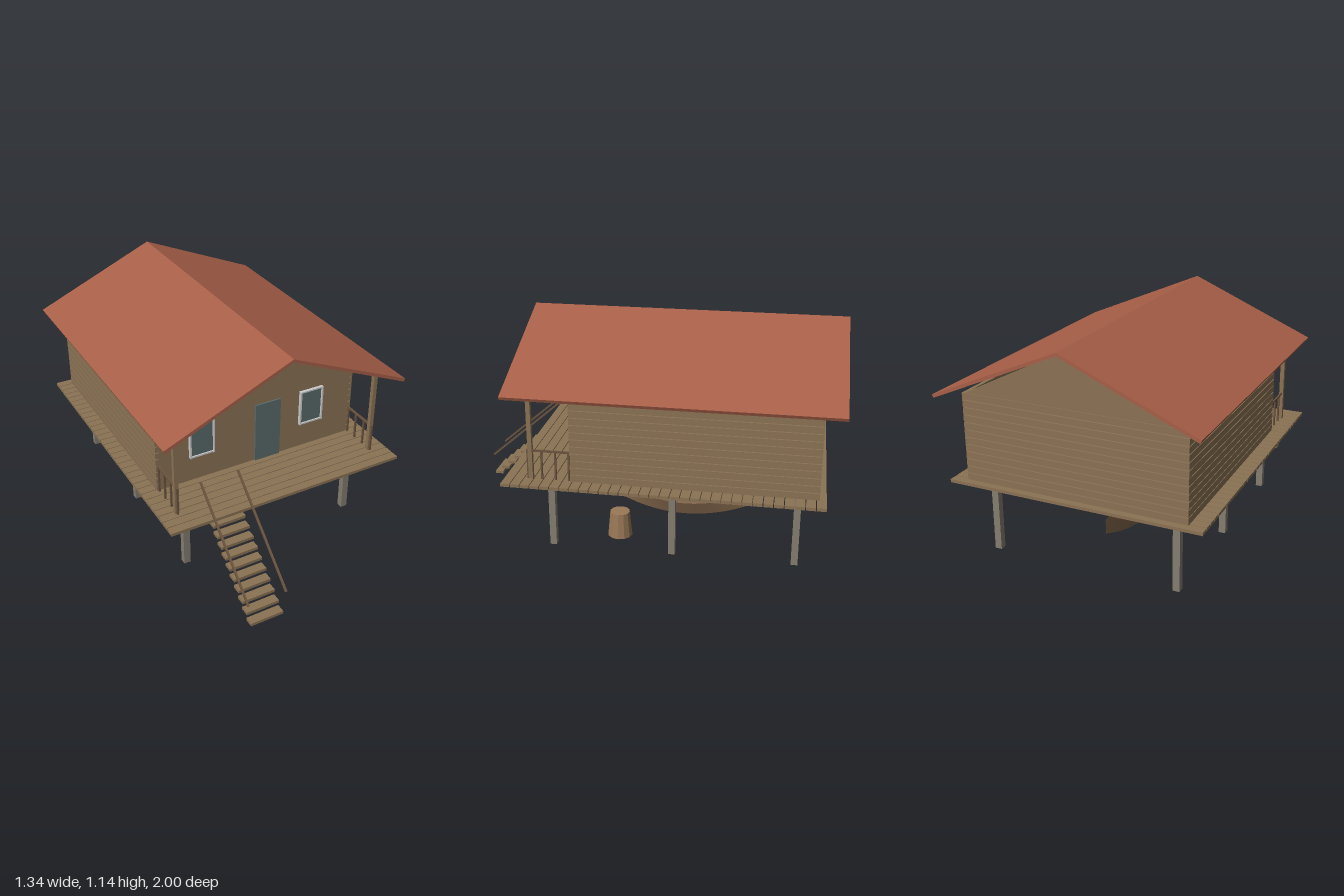
import * as THREE from 'three';

const mat = (name, color, side = THREE.FrontSide) => {
  const m = new THREE.MeshStandardMaterial({ color, side });
  m.name = name;
  return m;
};

export function createModel() {
  const wood = mat('wood', 0x8b7355);
  const darkWood = mat('dark wood', 0x6b543e);
  const roofRed = mat('roof red', 0xa85f48);
  const stilt = mat('weathered stilt', 0x847d70);
  const glass = mat('blue grey', 0x5a6b6b);
  const trim = mat('pale trim', 0xcccccc);
  const basketTan = mat('basket tan', 0x9a7856);
  const hullBrown = mat('hull brown', 0x84684c, THREE.DoubleSide);

  const model = new THREE.Group();
  model.name = 'stiltHouse';
  const group = (name) => {
    const g = new THREE.Group();
    g.name = name;
    model.add(g);
    return g;
  };
  const add = (parent, name, geometry, material, x = 0, y = 0, z = 0) => {
    const m = new THREE.Mesh(geometry, material);
    m.name = name;
    m.position.set(x, y, z);
    parent.add(m);
    return m;
  };
  const box = (parent, name, material, w, h, d, x, y, z) =>
    add(parent, name, new THREE.BoxGeometry(w, h, d), material, x, y, z);
  // Prism with an xy outline, running from z0 to z1
  const prism = (parent, name, material, points, z0, z1) => {
    const shape = new THREE.Shape(points.map(([x, y]) => new THREE.Vector2(x, y)));
    const g = new THREE.ExtrudeGeometry(shape, { depth: z1 - z0, bevelEnabled: false });
    return add(parent, name, g, material, 0, 0, z0);
  };

  // Stilts
  const stilts = group('stilts');
  for (const x of [-0.484, 0.484])
    for (const z of [0.43, -0.185, -0.8])
      box(stilts, 'stilt', stilt, 0.036, 0.386, 0.034, x, 0.193, z);

  // Deck of separate boards
  const deck = group('deck');
  const boards = 32, boardPitch = 1.58 / boards;
  for (let i = 0; i < boards; i++)
    box(deck, 'deckBoard', wood, 1.31, 0.016, boardPitch - 0.004,
      0, 0.393, 0.645 - (i + 0.5) * boardPitch);

  // Walls: plain front, slatted sides and back, gables at both ends
  const walls = group('walls');
  box(walls, 'frontWall', wood, 1.11, 0.45, 0.024, 0, 0.625, 0.298);
  const slats = 12, slatPitch = 0.45 / slats;
  for (let i = 0; i < slats; i++) {
    const y = 0.4 + (i + 0.5) * slatPitch;
    const h = slatPitch - 0.004;
    for (const s of [-1, 1])
      box(walls, 'sideSlat', wood, 0.02, h, 1.21, s * 0.565, y, -0.295);
    box(walls, 'backSlat', wood, 1.11, h, 0.02, 0, y, -0.89);
  }
  const gable = [[-0.555, 0.85], [0.555, 0.85], [0, 1.13]];
  prism(walls, 'frontGable', wood, gable, 0.286, 0.31);
  prism(walls, 'backGable', wood, gable, -0.9, -0.88);

  // Roof slopes
  const roof = group('roof');
  for (const s of [-1, 1])
    prism(roof, 'roofSlope', roofRed,
      [[0, 1.145], [s * 0.668, 0.858], [s * 0.661, 0.842], [0, 1.128]], -1, 0.62);

  // Door and framed windows
  box(model, 'door', glass, 0.147, 0.335, 0.009, 0.056, 0.568, 0.314);
  for (const x of [-0.325, 0.314]) {
    const w = group('window');
    w.position.set(x, 0.641, 0.31);
    box(w, 'windowPane', glass, 0.13, 0.19, 0.009, 0, 0, 0.004);
    for (const s of [-1, 1]) {
      box(w, 'windowJamb', trim, 0.008, 0.2, 0.018, s * 0.065, 0, 0.009);
      box(w, 'windowRail', trim, 0.13, 0.008, 0.016, 0, s * 0.095, 0.008);
    }
  }

  // Porch posts and side railings
  const porch = group('porch');
  for (const s of [-1, 1]) {
    box(porch, 'porchPost', wood, 0.022, 0.456, 0.022, s * 0.564, 0.628, 0.51);
    box(porch, 'porchRail', darkWood, 0.01, 0.01, 0.22, s * 0.564, 0.55, 0.42);
    for (const z of [0.525, 0.455, 0.385, 0.318])
      box(porch, 'baluster', darkWood, 0.009, 0.15, 0.009, s * 0.564, 0.475, z);
  }

  // Open stairs with sloping handrails
  const stairs = group('stairs');
  for (let i = 0; i < 11; i++)
    box(stairs, 'tread', wood, 0.176, 0.016, 0.046,
      -0.338, 0.02 + i * 0.0356, 0.977 - i * 0.041);
  const run = 0.472, rise = 0.406;
  for (const x of [-0.44, -0.236]) {
    const rail = box(stairs, 'handrail', darkWood, 0.01, 0.01, Math.hypot(run, rise),
      x, 0.345, 0.761);
    rail.rotation.x = Math.atan2(rise, run);
  }

  // Boat: flat bottom and two flared sides, rising and narrowing to both ends
  const boat = group('boat');
  const hullPanel = (name, a, b) => {
    const g = new THREE.PlaneGeometry(1, 1, 1, 14);
    const p = g.attributes.position;
    for (let i = 0; i < p.count; i++) {
      const [x, y] = p.getX(i) < 0 ? a : b;
      const t = p.getY(i) * 2;
      p.setXYZ(i, x * (1 - 0.95 * t * t), y + 0.071 * t * t, -0.188 - t * 0.382);
    }
    g.computeVertexNormals();
    add(boat, name, g, hullBrown);
  };
  hullPanel('boatBottom', [0.048, 0], [-0.048, 0]);
  hullPanel('boatLeftSide', [0.076, 0.074], [0.048, 0]);
  hullPanel('boatRightSide', [-0.048, 0], [-0.076, 0.074]);

  // Upturned basket
  const basket = new THREE.CylinderGeometry(0.051, 0.064, 0.132, 12).toNonIndexed();
  basket.computeVertexNormals();
  add(model, 'basket', basket, basketTan, 0.393, 0.1, 0.1);

  return model;
}
